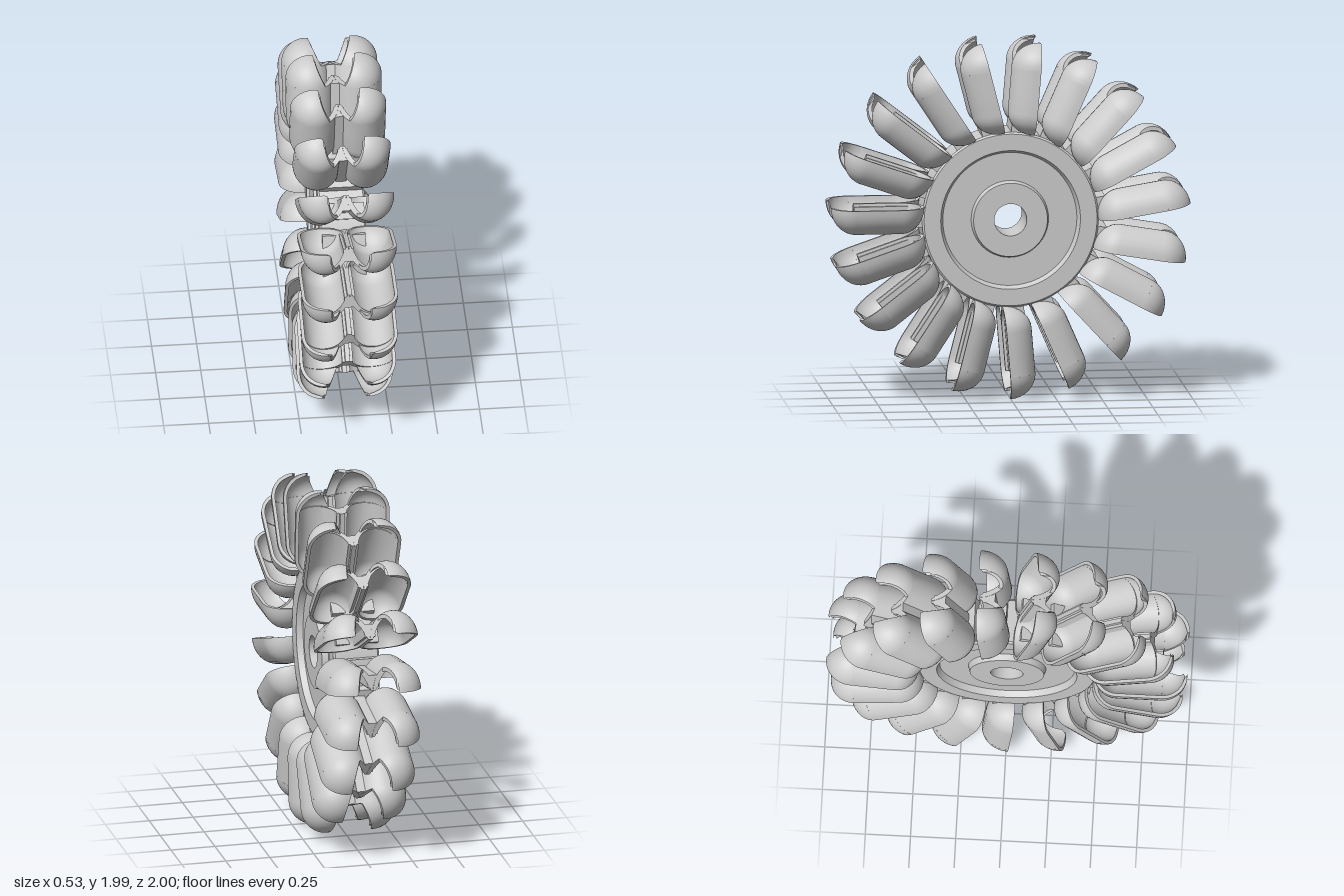
import * as THREE from 'three';
import { toCreasedNormals } from 'three/addons/utils/BufferGeometryUtils.js';

const BUCKETS = 19;
const RIM = 0.086;                       // height of the bucket rim above the radial line
const ROOT = 0.61, TIP = 0.86;           // where the rounded ends of a cup begin
const NOTCH = 0.86;                      // start of the notch at the bucket tip
const material = new THREE.MeshStandardMaterial({ color: 0xcccccc, side: THREE.DoubleSide });

// Shrink factor of a cup section at radius r, for rounded ends of the given lengths
function taper(r, rootLen, tipLen) {
  const t = r < ROOT ? (ROOT - r) / rootLen : r > TIP ? (r - TIP) / tipLen : 0;
  return Math.sqrt(Math.max(0, 1 - t * t));
}

// Arc of one half-ellipse section, cut off at x = notch
function arc(r, s, cx, halfWidth, depth, notch, steps) {
  const w = halfWidth * s;
  const end = w < 1e-5 ? Math.PI : Math.acos(THREE.MathUtils.clamp((notch - cx) / w, -1, 1));
  return Array.from({ length: steps + 1 }, (_, k) => {
    const a = (end * k) / steps;
    return [cx + w * Math.cos(a), RIM - depth * s * Math.sin(a), r];
  });
}

// One thick-walled cup, lofted along the radius; side is +1 or -1
function cupGeometry(side) {
  const rows = [], steps = 14, ends = 9;
  for (let i = 0; i <= ends; i++) rows.push([ROOT - 0.13 * Math.cos((i / ends) * Math.PI / 2), 0]);
  rows.push([0.74, 0], [NOTCH, 0]);
  for (let i = 0; i <= ends + 2; i++) {
    const t = Math.sin((i / (ends + 2)) * Math.PI / 2);
    rows.push([TIP + 0.138 * t, 0.055 + 0.06 * t]);
  }
  const position = [], index = [];
  const n = 2 * (steps + 1);
  rows.forEach(([r, notch]) => {
    const outer = arc(r, taper(r, 0.13, 0.138), 0.133, 0.133, 0.152, notch, steps);
    const inner = arc(r, taper(r, 0.112, 0.12), 0.13, 0.117, 0.132, notch, steps).reverse();
    [...outer, ...inner].forEach(([x, y, z]) => position.push(side * x, y, z));
  });
  for (let i = 0; i < rows.length - 1; i++) {
    for (let j = 0; j < n; j++) {
      const a = i * n + j, b = i * n + ((j + 1) % n), c = b + n, d = a + n;
      if (side > 0) index.push(a, d, c, a, c, b);
      else index.push(a, c, d, a, b, c);
    }
  }
  const geometry = new THREE.BufferGeometry();
  geometry.setAttribute('position', new THREE.Float32BufferAttribute(position, 3));
  geometry.setIndex(index);
  return toCreasedNormals(geometry, 0.6);
}

function box(w, y0, y1, z0, z1) {
  return new THREE.BoxGeometry(w, y1 - y0, z1 - z0).translate(0, (y0 + y1) / 2, (z0 + z1) / 2);
}

// Disc with bore, raised hub and a recessed ring on both faces
function discGeometry() {
  const half = [[0.09, 0.13], [0.205, 0.13], [0.215, 0.095], [0.372, 0.095], [0.388, 0.13], [0.48, 0.13], [0.49, 0.12]];
  const profile = [
    ...half.map(([r, y]) => new THREE.Vector2(r, -y)),
    ...half.slice().reverse().map(([r, y]) => new THREE.Vector2(r, y)),
    new THREE.Vector2(0.09, -0.13),
  ];
  return toCreasedNormals(new THREE.LatheGeometry(profile, 96).rotateZ(-Math.PI / 2), 0.5);
}

export function createModel() {
  const model = new THREE.Group();
  model.name = 'turbineWheel';
  const wheel = new THREE.Group();
  wheel.name = 'wheel';
  wheel.position.y = 1;
  model.add(wheel);

  const add = (parent, geometry, name) => {
    const mesh = new THREE.Mesh(geometry, material);
    mesh.name = name;
    parent.add(mesh);
  };
  add(wheel, discGeometry(), 'disc');

  // Buckets share their geometry and repeat around the axle
  const leftCup = cupGeometry(1), rightCup = cupGeometry(-1);
  const splitter = box(0.06, 0, 0.07, 0.46, NOTCH - 0.002);
  const stem = box(0.24, -0.035, 0.055, 0.43, 0.54);
  for (let i = 0; i < BUCKETS; i++) {
    const bucket = new THREE.Group();
    bucket.name = 'bucket' + (i + 1);
    bucket.rotation.x = (i * 2 * Math.PI) / BUCKETS;
    add(bucket, leftCup, 'leftCup');
    add(bucket, rightCup, 'rightCup');
    add(bucket, splitter, 'splitterWeb');
    add(bucket, stem, 'stem');
    wheel.add(bucket);
  }
  return model;
}
